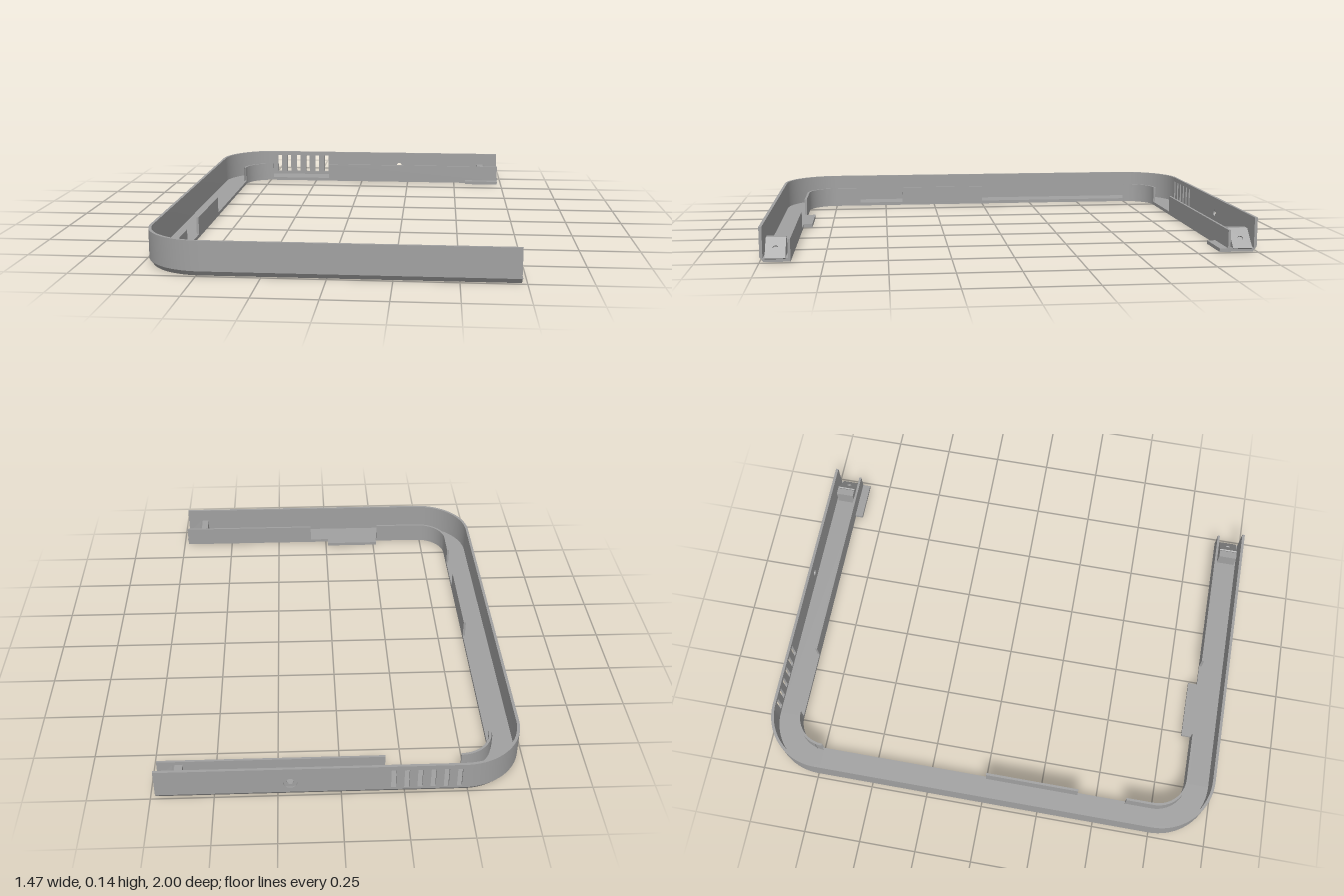
import * as THREE from 'three';
import { toCreasedNormals } from 'three/addons/utils/BufferGeometryUtils.js';

const END = 0.73, LEFT = -0.735, R = 0.25, CX = LEFT + R, CZ = 1 - R;
const WALL = 0.012, WIDTH = 0.12, FLOOR = 0.015, TOP = 0.14, INNER_TOP = 0.09;

// Path pieces along the outer edge: position plus inward normal
const front = (x) => ({ x, z: 1, nx: 0, nz: -1 });
const side = (z) => ({ x: LEFT, z, nx: 1, nz: 0 });
const back = (x) => ({ x, z: -1, nx: 0, nz: 1 });
function corner(s, steps = 20) {
  const pts = [];
  for (let i = 0; i <= steps; i++) {
    const t = (i / steps) * Math.PI / 2;
    const ox = s > 0 ? -Math.sin(t) : -Math.cos(t);
    const oz = s > 0 ? Math.cos(t) : -Math.sin(t);
    pts.push({ x: CX + R * ox, z: s * CZ + R * oz, nx: -ox, nz: -oz });
  }
  return pts;
}

// Sweep a closed profile of [inward offset, height] along a path, with end caps
function sweep(profile, path) {
  const pos = [];
  const at = (p, [d, y]) => [p.x + p.nx * d, y, p.z + p.nz * d];
  const n = profile.length;
  for (let i = 0; i < path.length - 1; i++) {
    for (let j = 0; j < n; j++) {
      const a = at(path[i], profile[j]), b = at(path[i], profile[(j + 1) % n]);
      const c = at(path[i + 1], profile[(j + 1) % n]), d = at(path[i + 1], profile[j]);
      pos.push(...a, ...b, ...c, ...a, ...c, ...d);
    }
  }
  const contour = profile.map(([d, y]) => new THREE.Vector2(d, y)).reverse();
  for (const tri of THREE.ShapeUtils.triangulateShape(contour, [])) {
    let [a, b, c] = tri.map((k) => contour[k]);
    if (THREE.ShapeUtils.area([a, b, c]) < 0) [b, c] = [c, b];
    const first = path[0], last = path[path.length - 1];
    for (const v of [a, b, c]) pos.push(...at(first, [v.x, v.y]));
    for (const v of [a, c, b]) pos.push(...at(last, [v.x, v.y]));
  }
  const g = new THREE.BufferGeometry();
  g.setAttribute('position', new THREE.Float32BufferAttribute(pos, 3));
  return toCreasedNormals(g, 0.5);
}

function polygon(points) {
  return new THREE.Shape(points.map(([x, y]) => new THREE.Vector2(x, y)));
}
const rect = (x0, y0, x1, y1) => polygon([[x0, y0], [x1, y0], [x1, y1], [x0, y1]]);
function extrude(shape, depth) {
  return new THREE.ExtrudeGeometry(shape, { depth, bevelEnabled: false, curveSegments: 20 });
}
function roundHole(x, y, r) {
  return new THREE.Path().absarc(x, y, r, 0, Math.PI * 2, true);
}

export function createModel() {
  const model = new THREE.Group();
  model.name = 'cornerFrame';
  const grey = new THREE.MeshStandardMaterial({ color: 0xa0a0a0 });
  grey.name = 'plain grey';
  const add = (name, geometry, parent = model) => {
    const mesh = new THREE.Mesh(geometry, grey);
    mesh.name = name;
    parent.add(mesh);
    return mesh;
  };

  // Channel with tall outer wall and chamfered bottom edge
  const floorEdge = [[WALL, FLOOR], [WIDTH, FLOOR], [WIDTH, 0], [0.015, 0]];
  add('channel', sweep(
    [[0, 0.02], [0, TOP], [WALL, TOP], ...floorEdge],
    [front(END), ...corner(1), ...corner(-1)],
  ));
  add('backFloor', sweep([[0, 0.02], [WALL, 0.02], ...floorEdge], [back(CX), back(END)]));

  // Back wall in two layers: vent slots and a counterbored screw hole
  const layers = [['backWallOuter', -1, 0.028], ['backWallInner', -1 + WALL / 2, 0.014]];
  for (const [name, z, r] of layers) {
    const wall = rect(CX, 0.02, END, TOP);
    for (let i = 0; i < 6; i++) {
      const x = -0.465 + i * 0.052;
      wall.holes.push(rect(x - 0.01, 0.03, x + 0.01, 0.12));
    }
    wall.holes.push(roundHole(0.2, 0.07, r));
    add(name, extrude(wall, WALL / 2).translate(0, 0, z));
  }

  // Low inner wall, broken by gaps
  const lip = [[WIDTH - 0.01, FLOOR], [WIDTH - 0.01, INNER_TOP], [WIDTH, INNER_TOP], [WIDTH, FLOOR]];
  const innerWalls = {
    innerWallFront: [front(END), front(0.08)],
    innerWallFrontCorner: [front(-0.27), ...corner(1), side(0.63)],
    innerWallSide: [side(0.415), side(0)],
    innerWallBackCorner: [side(-0.78), ...corner(-1)],
    innerWallBack: [back(-0.18), back(END)],
  };
  for (const [name, path] of Object.entries(innerWalls)) add(name, sweep(lip, path));

  // Flat tabs reaching inward from the floor
  add('frontTab', new THREE.BoxGeometry(0.255, FLOOR, 0.04).translate(-0.138, FLOOR / 2, 0.86));
  add('backTab', new THREE.BoxGeometry(0.17, FLOOR, 0.035).translate(0.645, FLOOR / 2, -0.8625));

  // Sloped screw blocks inside both open ends
  for (const s of [1, -1]) {
    const block = new THREE.Group();
    block.name = s > 0 ? 'frontScrewBlock' : 'backScrewBlock';
    block.position.z = s * 0.94;
    const body = polygon([[0.625, FLOOR], [0.7265, FLOOR], [0.6565, 0.085], [0.625, 0.085]]);
    add('blockBody', extrude(body, 0.08).translate(0, 0, -0.04), block);
    const half = 0.035 * Math.SQRT2;
    const plate = rect(-0.04, -half, 0.04, half);
    plate.holes.push(roundHole(0, 0, 0.011));
    add('slopedFace', extrude(plate, 0.006).translate(0, 0, -0.006)
      .rotateY(Math.PI / 2).rotateZ(Math.PI / 4).translate(0.7, 0.05, 0), block);
    model.add(block);
  }
  return model;
}
